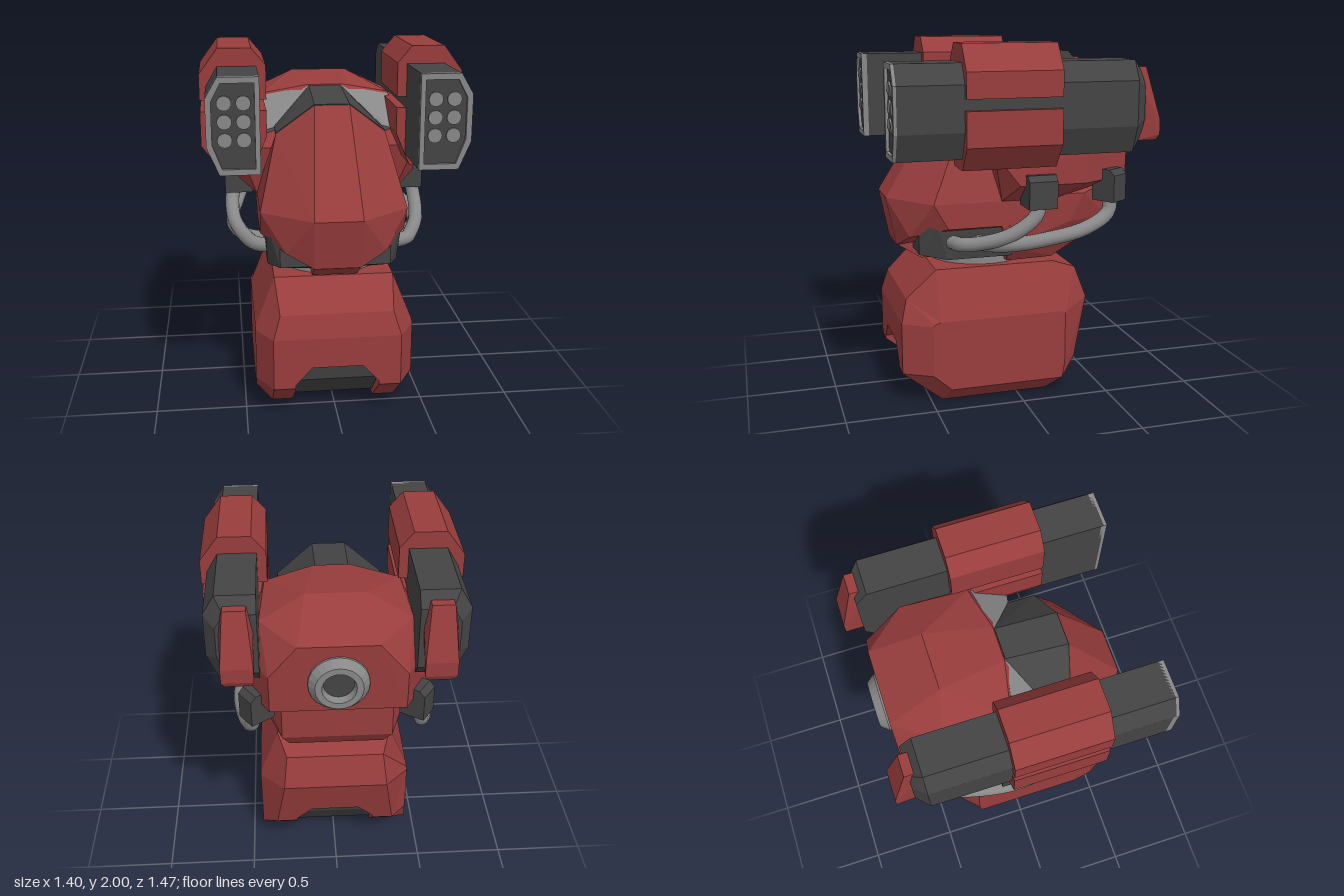
import * as THREE from 'three';
import { ConvexGeometry } from 'three/addons/geometries/ConvexGeometry.js';

const mat = (color, flatShading = true) => new THREE.MeshStandardMaterial({ color, flatShading, side: THREE.DoubleSide });
const red = mat(0x993d3d), dark = mat(0x444444), grey = mat(0x888888), greySmooth = mat(0x888888, false);

export function createModel() {
  const model = new THREE.Group();
  const add = (name, geo, material, parent = model) => {
    const m = new THREE.Mesh(geo, material);
    m.name = name;
    parent.add(m);
    return m;
  };
  // faceted solid around a few corner points
  const hull = (name, material, pts, parent) =>
    add(name, new ConvexGeometry(pts.map(p => new THREE.Vector3(...p))), material, parent);
  const flip = (pts, s) => pts.map(([x, y, z]) => [x * s, y, z]);
  const both = pts => [...pts, ...flip(pts, -1)];
  // outline in x, y pushed along z
  const slab = (name, material, outline, z0, z1, parent, hole) => {
    const shape = new THREE.Shape(outline.map(p => new THREE.Vector2(...p)));
    if (hole) shape.holes.push(new THREE.Path(hole.map(p => new THREE.Vector2(...p))));
    const geo = new THREE.ExtrudeGeometry(shape, { depth: z1 - z0, bevelEnabled: false });
    return add(name, geo.translate(0, 0, z0), material, parent);
  };

  // Hip block: side-view rings [x, y, z] lofted across x, with a notch underneath
  const rim = [[.35, .18, .66], [.35, .47, .66], [.31, .6, .625], [.33, .76, .46], [.33, .76, -.22],
    [.28, .7, -.375], [.3, .52, -.44], [.35, .18, -.355], [.35, 0, -.175], [.35, 0, .435]];
  const side = [[.18, .5], [.47, .5], [.48, .49], [.49, .46], [.49, -.2], [.49, -.25],
    [.48, -.265], [.18, -.265], [.09, -.25], [.09, .4]].map(([y, z]) => [.44, y, z]);
  const inner = x => rim.map(p => [x, p[1], p[2]]);
  const raised = (x, y, zBack) => inner(x).map((p, i) => (i === 0 || i > 6 ? [x, y, i === 7 ? zBack : p[2]] : p));
  const half = [side, rim, inner(.23), raised(.23, .2, -.36), raised(.14, .3, -.388)];
  const rings = [...half, ...half.map(r => flip(r, -1)).reverse()];
  const tris = [], n = rim.length;
  for (let r = 0; r + 1 < rings.length; r++) {
    const a = rings[r], b = rings[r + 1];
    for (let i = 0; i < n; i++) {
      const j = (i + 1) % n;
      tris.push(a[i], a[j], b[i], a[j], b[j], b[i]);
    }
  }
  const last = rings[rings.length - 1];
  for (let i = 1; i + 1 < n; i++) tris.push(side[0], side[i + 1], side[i], last[0], last[i], last[i + 1]);
  const hipGeo = new THREE.BufferGeometry();
  hipGeo.setAttribute('position', new THREE.Float32BufferAttribute(tris.flat(), 3));
  hipGeo.computeVertexNormals();
  add('hipBlock', hipGeo, red);
  hull('hipCore', dark, both([[.228, .04, .44], [.228, .04, -.19], [.228, .2, .6], [.228, .2, -.3],
    [.138, .31, .62], [.138, .31, -.33]]));

  // Waist ring
  add('waist', new THREE.CylinderGeometry(.29, .29, .12, 32).translate(0, .79, .14), greySmooth);

  // Lower torso, dark belt and chin
  hull('lowerTorso', red, both([[.4, 1.16, .1], [.4, 1.16, -.38], [.3, 1.2, -.56], [.3, 1, -.56], [.26, .92, -.51],
    [.39, 1, -.3], [.4, 1, .1], [.3, .78, -.22], [.32, .78, .05], [.39, .88, .06]]));
  hull('belt', dark, both([[.38, 1.12, .46], [.37, 1, .45], [.3, .96, .545], [.3, .845, .545], [.36, .82, .4],
    [.36, .82, .03], [.39, 1, .03], [.13, .82, .5]]));
  hull('chin', red, both([[.125, .87, .64], [.125, .78, .4], [.125, .78, .5], [.125, .93, .5], [.125, .9, .3]]));

  // Cockpit shell
  hull('cockpit', red, both([[.095, 1.69, .36], [.3, 1.53, .31], [.13, 1.14, .695], [.4, 1.14, .48], [.27, .94, .59],
    [.125, .865, .64], [.4, 1, .4], [.4, 1, .05], [.4, 1.14, .05], [.3, 1.4, .1], [.2, .95, .3]]));

  // Upper torso
  hull('upperTorso', red, both([[.16, 1.78, -.36], [.1, 1.745, .005], [.37, 1.69, -.05], [.4, 1.66, -.42],
    [.21, 1.64, -.65], [.36, 1.46, -.645], [.36, 1.24, -.64], [.52, 1.45, -.35], [.52, 1.24, -.35],
    [.5, 1.42, .17], [.52, 1.24, .03], [.4, 1.14, .1], [.4, 1.14, -.2]]));

  // Canopy roof and its side panels
  hull('canopy', dark, both([[.09, 1.74, .012], [.095, 1.695, .36], [.3, 1.535, .31], [.3, 1.54, .145],
    [.28, 1.42, .3], [.28, 1.42, .1], [.09, 1.5, 0]]));
  for (const s of [1, -1])
    hull('canopySidePanel', grey, flip([[.09, 1.738, .012], [.37, 1.68, -.035], [.36, 1.52, .17], [.3, 1.535, .16],
      [.3, 1.45, .05], [.2, 1.6, -.1]], s));

  // Rear exhaust: flared ring with a recessed dark floor
  const ring = [[.16, -.03], [.16, .015], [.125, .06], [.09, .06], [.08, .01], [.08, -.02]]
    .map(p => new THREE.Vector2(...p));
  const exhaust = add('rearExhaust', new THREE.LatheGeometry(ring, 24), grey);
  exhaust.rotation.x = -Math.PI / 2;
  exhaust.position.set(0, 1.42, -.645);
  const floor = add('exhaustFloor', new THREE.CylinderGeometry(.085, .085, .02, 24), dark);
  floor.rotation.x = Math.PI / 2;
  floor.position.set(0, 1.42, -.65);

  for (const s of [1, -1]) {
    const launcher = new THREE.Group();
    launcher.name = s > 0 ? 'leftLauncher' : 'rightLauncher';
    model.add(launcher);
    const X = pts => pts.map(([x, y]) => [x * s, y]);

    // Launcher body, tapered at its rear end
    const section = [[.4, 1.905], [.605, 1.905], [.667, 1.8], [.667, 1.56], [.605, 1.415], [.4, 1.415]];
    const shrink = section.map(([x, y]) => [.4 + (x - .4) * .78, 1.66 + (y - 1.66) * .7]);
    hull('launcherBody', dark, flip([...section.map(p => [...p, .715]), ...section.map(p => [...p, -.57]),
      ...shrink.map(p => [...p, -.635])], s), launcher);

    // Muzzle frame and six tubes
    const opening = [[.425, 1.875], [.59, 1.875], [.638, 1.785], [.638, 1.57], [.59, 1.445], [.425, 1.445]];
    slab('muzzleFrame', grey, X(section), .7, .732, launcher, X(opening));
    for (const x of [.48, .575]) for (const y of [1.59, 1.682, 1.775]) {
      const tube = add('launchTube', new THREE.CylinderGeometry(.037, .037, .02, 20), grey, launcher);
      tube.rotation.x = Math.PI / 2;
      tube.position.set(x * s, y, .714);
    }

    // Armour collar halves
    slab('upperCollar', red, X([[.35, 1.73], [.35, 1.91], [.425, 2], [.6, 2], [.7, 1.865], [.7, 1.73]]), -.14, .37, launcher);
    slab('lowerCollar', red, X([[.35, 1.67], [.35, 1.53], [.425, 1.355], [.6, 1.355], [.7, 1.485], [.7, 1.67]]), -.14, .37, launcher);

    // Rear plate
    hull('rearPlate', red, flip([[.45, 1.865, -.6], [.565, 1.865, -.6], [.45, 1.865, -.655], [.565, 1.865, -.655],
      [.42, 1.78, -.6], [.59, 1.78, -.6], [.425, 1.58, -.735], [.59, 1.58, -.735], [.425, 1.5, -.735],
      [.59, 1.5, -.735], [.44, 1.47, -.72], [.575, 1.47, -.72], [.44, 1.47, -.6], [.575, 1.47, -.6]], s), launcher);

    // Hose sockets and hoses
    const socket = [[-.08, -.09], [.08, -.09], [.08, .06], [.045, .09], [-.08, .09]];
    for (const [x, z, turn] of [[.5, -.08, 0], [.43, -.515, .6]]) {
      const m = slab('hoseSocket', dark, X(socket), -.08, .08);
      m.position.set(x * s, 1.21, z);
      m.rotation.y = turn * s;
      if (turn) m.scale.set(.9, 1, .75);
    }
    for (const path of [
      [[.52, 1.17, -.08], [.54, 1.08, -.05], [.53, .98, .09], [.47, .93, .25], [.42, .92, .34], [.33, .92, .38]],
      [[.44, 1.17, -.515], [.46, 1.06, -.5], [.5, .985, -.36], [.54, .945, -.1], [.52, .925, .08], [.44, .915, .2], [.33, .915, .24]],
    ]) {
      const curve = new THREE.CatmullRomCurve3(flip(path, s).map(p => new THREE.Vector3(...p)));
      add('hose', new THREE.TubeGeometry(curve, 32, .04, 12), greySmooth);
    }
  }
  return model;
}
